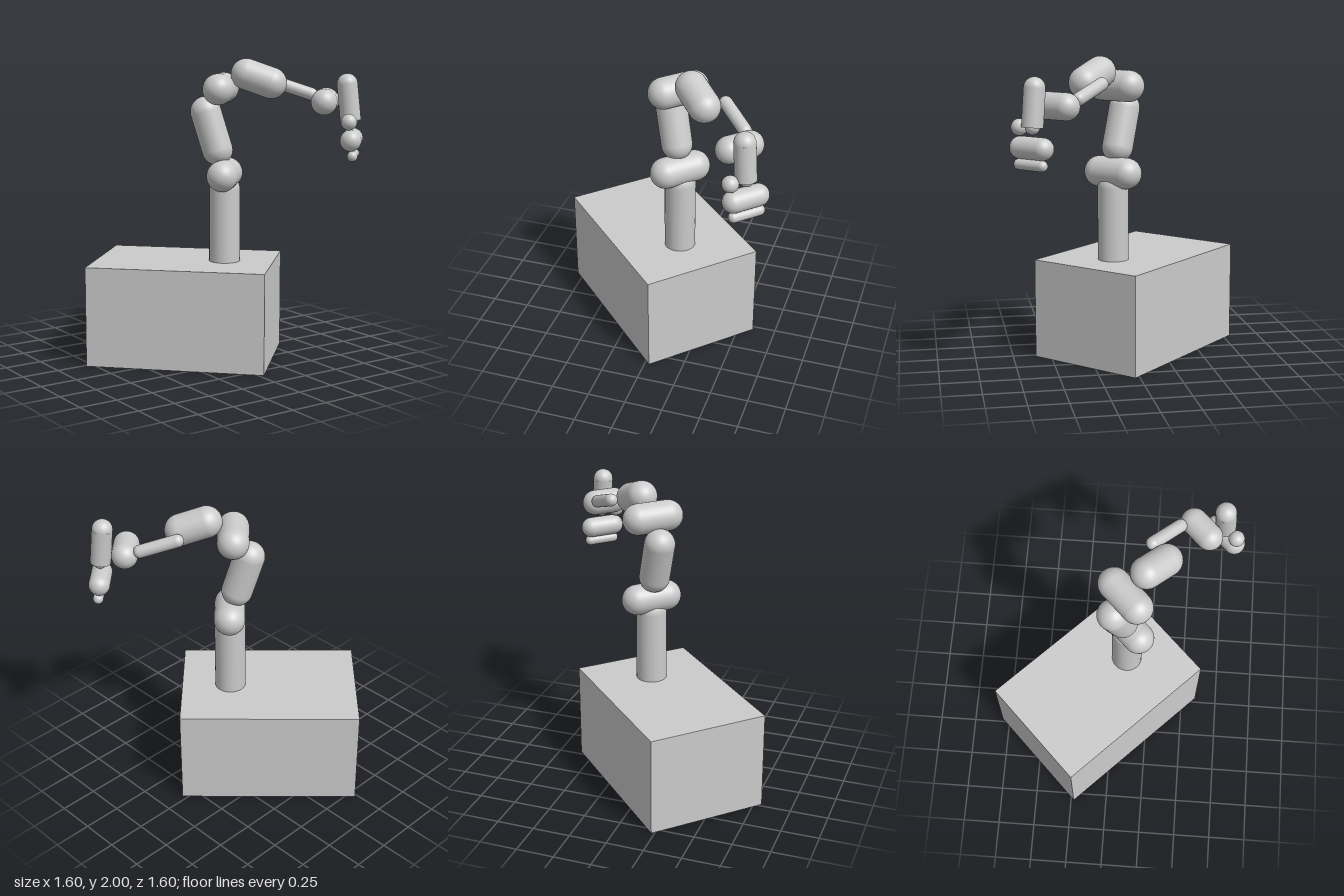
import * as THREE from 'three';

const material = new THREE.MeshStandardMaterial({ color: 0xcccccc });
const UP = new THREE.Vector3(0, 1, 0);

// Lay a Y-aligned mesh along the line from a to b
function place(name, geometry, a, b) {
  const mesh = new THREE.Mesh(geometry, material);
  mesh.name = name;
  mesh.position.lerpVectors(a, b, 0.5);
  mesh.quaternion.setFromUnitVectors(UP, b.clone().sub(a).normalize());
  return mesh;
}

// Rounded link whose end spheres are centred on a and b
function link(name, radius, from, to) {
  const a = new THREE.Vector3(...from), b = new THREE.Vector3(...to);
  return place(name, new THREE.CapsuleGeometry(radius, a.distanceTo(b), 12, 32), a, b);
}

function ball(name, radius, at) {
  const mesh = new THREE.Mesh(new THREE.SphereGeometry(radius, 32, 20), material);
  mesh.name = name;
  mesh.position.set(...at);
  return mesh;
}

export function createModel() {
  const model = new THREE.Group();
  model.name = 'robotArm';

  // Pedestal block, turned 45 degrees so the arm reaches to +x +z
  const base = new THREE.Mesh(new THREE.BoxGeometry(0.806, 0.66, 1.174), material);
  base.name = 'base';
  base.position.set(-0.1, 0.33, -0.1);
  base.rotation.y = Math.PI / 4;
  model.add(base);

  // Column, joints and links: name, radius, start, end
  const links = [
    ['column', 0.102, [0.085, 0.5, 0.085], [0.085, 1.14, 0.085]],
    ['shoulderJoint', 0.102, [0.01, 1.238, 0.16], [0.158, 1.238, 0.012]],
    ['upperArm', 0.102, [0.05, 1.4, 0.05], [-0.005, 1.65, -0.005]],
    ['elbowJoint', 0.102, [-0.008, 1.803, 0.14], [0.14, 1.803, -0.008]],
    ['forearm', 0.102, [0.185, 1.898, 0.185], [0.3, 1.842, 0.3]],
    ['forearmRod', 0.042, [0.41, 1.84, 0.21], [0.575, 1.765, 0.375]],
    ['wristJoint', 0.085, [0.53, 1.725, 0.56], [0.63, 1.725, 0.46]],
    ['gripperBar', 0.069, [0.609, 1.485, 0.733], [0.727, 1.485, 0.615]],
    ['gripperTip', 0.034, [0.616, 1.385, 0.744], [0.74, 1.385, 0.62]],
  ];
  for (const spec of links) model.add(link(...spec));

  // Hand: domed top with a flat lower end
  const handTop = new THREE.Vector3(0.645, 1.842, 0.65);
  const handBottom = new THREE.Vector3(0.663, 1.607, 0.668);
  const length = handTop.distanceTo(handBottom);
  model.add(place('hand', new THREE.CylinderGeometry(0.067, 0.067, length, 32), handBottom, handTop));
  model.add(ball('handDome', 0.067, handTop.toArray()));

  // Small joints between the hand and the gripper
  model.add(ball('handNeck', 0.045, [0.667, 1.61, 0.667]));
  model.add(ball('gripperKnuckle', 0.052, [0.588, 1.605, 0.738]));

  return model;
}
